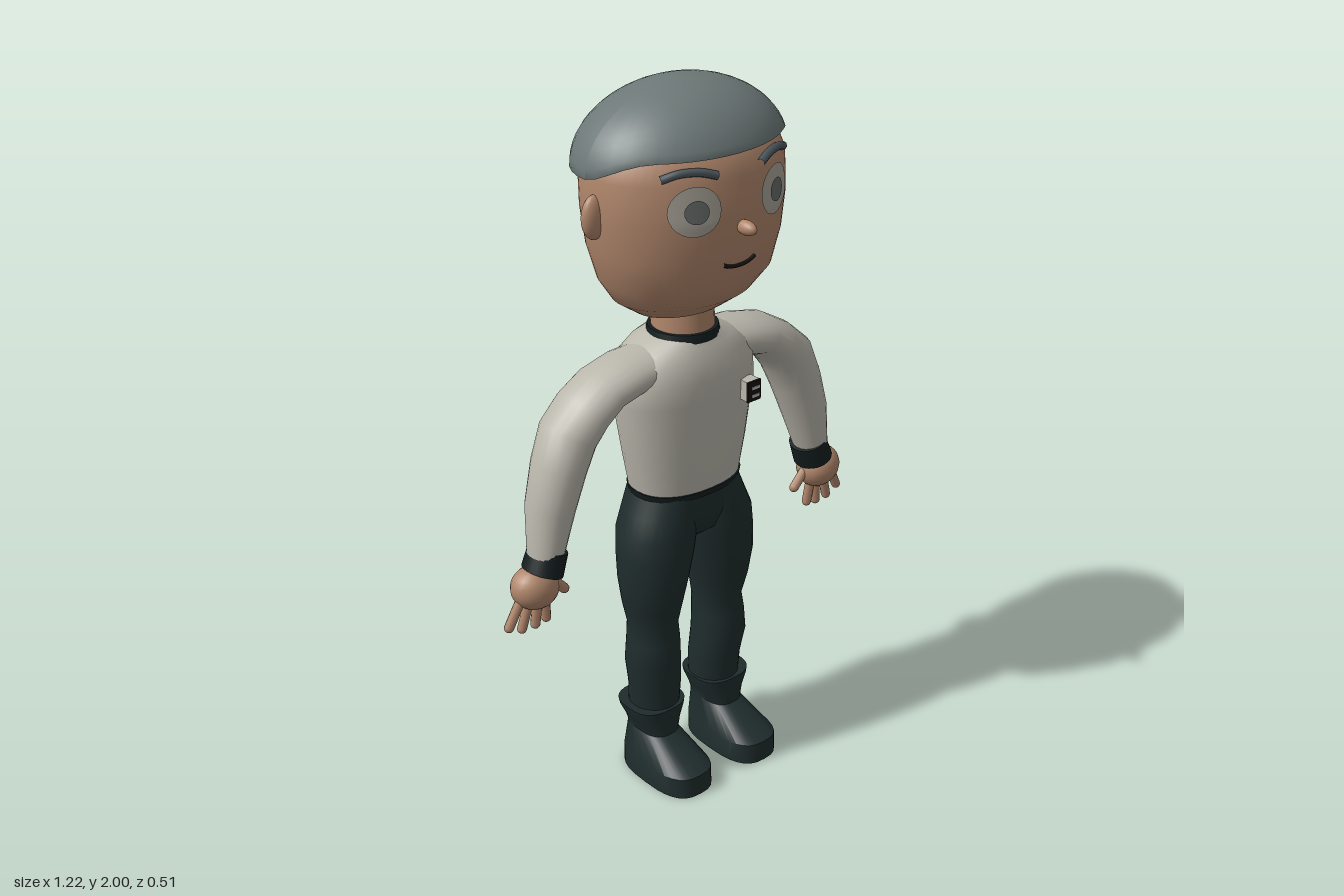
import * as THREE from 'three';
import { toCreasedNormals } from 'three/addons/utils/BufferGeometryUtils.js';

const mat = (name, color) => Object.assign(new THREE.MeshStandardMaterial({ color }), { name });

// Skin a list of sections [x, y, radius, zFront, zBack]; each lies across the path, or level if flat.
function loft(sections, { flat = true, segs = 32, pow = 1 } = {}) {
  const pos = [], idx = [];
  const soft = v => Math.sign(v) * Math.pow(Math.abs(v), pow);
  const rings = sections.map(([x, y, r, zf, zb], i) => {
    const a = sections[Math.max(i - 1, 0)], b = sections[Math.min(i + 1, sections.length - 1)];
    const t = flat ? new THREE.Vector2(0, 1) : new THREE.Vector2(b[0] - a[0], b[1] - a[1]).normalize();
    return Array.from({ length: segs }, (_, j) => {
      const w = j / segs * Math.PI * 2, c = soft(Math.cos(w)) * r, s = soft(Math.sin(w));
      return [x + t.y * c, y - t.x * c, (zf + zb) / 2 + s * (zf - zb) / 2];
    });
  });
  rings.forEach((ring, i) => ring.forEach((p, j) => {
    pos.push(...p);
    if (i === rings.length - 1) return;
    const k = (j + 1) % segs, o = i * segs, u = o + segs;
    idx.push(o + j, u + j, o + k, o + k, u + j, u + k);
  }));
  // end caps with their own vertices
  [0, rings.length - 1].forEach((i, end) => {
    const [x, y, , zf, zb] = sections[i], c = pos.length / 3;
    pos.push(x, y, (zf + zb) / 2);
    rings[i].forEach(p => pos.push(...p));
    for (let j = 0; j < segs; j++) {
      const a = c + 1 + j, b = c + 1 + (j + 1) % segs;
      idx.push(c, end ? b : a, end ? a : b);
    }
  });
  const g = new THREE.BufferGeometry();
  g.setAttribute('position', new THREE.Float32BufferAttribute(pos, 3));
  g.setIndex(idx);
  g.computeVertexNormals();
  return g;
}

// Head sections: x, y, half width, front z, back z
const HEAD = [
  [0, 1.395, .1, .05, -.1], [0, 1.405, .14, .075, -.125], [0, 1.45, .205, .135, -.17],
  [0, 1.51, .247, .18, -.2], [0, 1.6, .272, .2, -.225], [0, 1.7, .285, .207, -.236],
  [0, 1.8, .285, .2, -.238], [0, 1.86, .262, .175, -.22], [0, 1.93, .18, .11, -.15], [0, 1.97, .05, .02, -.06],
];

// Front surface of the head at (x, y)
function faceZ(x, y) {
  const i = HEAD.findIndex((s, k) => y < HEAD[k + 1][1]);
  const a = HEAD[i], b = HEAD[i + 1], f = (y - a[1]) / (b[1] - a[1]);
  const [, , r, zf, zb] = a.map((v, k) => v + (b[k] - v) * f);
  return (zf + zb) / 2 + (zf - zb) / 2 * Math.sqrt(Math.max(0, 1 - (x / r) ** 2));
}

// Thin disc wrapped onto the face
function faceDisc(cx, cy, r, lift) {
  const g = new THREE.RingGeometry(0, r, 24, 6);
  const p = g.attributes.position;
  for (let i = 0; i < p.count; i++) {
    const x = cx + p.getX(i), y = cy + p.getY(i);
    p.setXYZ(i, x, y, faceZ(x, y) + lift);
  }
  g.computeVertexNormals();
  return g;
}

// Tube running over the face through 2D points
function faceTube(points, r, lift) {
  const curve = new THREE.CatmullRomCurve3(points.map(([x, y]) => new THREE.Vector3(x, y, faceZ(x, y) + lift)));
  return new THREE.TubeGeometry(curve, 16, r, 8);
}

// Dome cap whose hem rises over the forehead
function capGeometry() {
  const g = new THREE.SphereGeometry(1, 40, 14);
  const p = g.attributes.position, uv = g.attributes.uv;
  for (let i = 0; i < p.count; i++) {
    const az = uv.getX(i) * Math.PI * 2, v = 1 - uv.getY(i);
    const f = THREE.MathUtils.smoothstep(Math.sin(az), -.05, .72);
    const hem = .29 * f, rim = v > .95 ? .955 : 1;
    const el = Math.PI / 2 + (hem - Math.PI / 2) * Math.min(v / .93, 1);
    const r = Math.cos(el) * rim;
    p.setXYZ(i, -Math.cos(az) * r * .302, 1.8 + .2 * Math.sin(el), Math.sin(az) * r * .23 - .027);
  }
  g.computeVertexNormals();
  return g;
}

export function createModel() {
  const skin = mat('skin', 0xb0866b), shirt = mat('shirt', 0xb9b6ab), trousers = mat('trousers', 0x1f2c2c);
  const trim = mat('trim', 0x141d1e), capMat = mat('cap', 0x6c7877), brow = mat('brow', 0x49545a);
  const eyeMat = mat('eye', 0xa9a499), iris = mat('iris', 0x656a68), black = mat('black', 0x14110f);
  const model = new THREE.Group();
  model.name = 'figure';
  const add = (parent, name, geo, material) => {
    const m = new THREE.Mesh(geo, material);
    m.name = name;
    parent.add(m);
    return m;
  };
  const rod = (parent, name, a, b, r, material) => {
    const p = new THREE.Vector3(...a), q = new THREE.Vector3(...b), d = q.clone().sub(p);
    const m = add(parent, name, new THREE.CapsuleGeometry(r, d.length() - r, 4, 10), material);
    m.position.copy(p).lerp(q, .5);
    m.quaternion.setFromUnitVectors(new THREE.Vector3(0, 1, 0), d.normalize());
  };

  // Head, cap and face
  add(model, 'head', loft(HEAD, { segs: 64 }), skin);
  add(model, 'cap', capGeometry(), capMat);
  add(model, 'neck', loft([[0, 1.31, .085, .068, -.105], [0, 1.43, .08, .065, -.1]]), skin);
  add(model, 'mouth', faceTube([[-.052, 1.582], [-.03, 1.573], [0, 1.57], [.03, 1.573], [.052, 1.582]], .005, .003), black);
  const nose = add(model, 'nose', new THREE.SphereGeometry(1, 16, 12), skin);
  nose.scale.set(.018, .019, .035);
  nose.position.set(0, 1.675, .22);

  // Torso, collar and waistband
  add(model, 'torso', loft([
    [0, .895, .163, .1, -.13], [0, 1, .184, .108, -.136], [0, 1.17, .213, .115, -.146], [0, 1.23, .21, .113, -.148],
    [0, 1.28, .19, .1, -.147], [0, 1.31, .145, .082, -.135], [0, 1.335, .09, .07, -.11],
  ], { pow: .88 }), shirt);
  add(model, 'collar', loft([[0, 1.322, .1, .08, -.117], [0, 1.346, .094, .076, -.112]]), trim);
  add(model, 'waistband', loft([[0, .884, .164, .101, -.131], [0, .902, .168, .105, -.134]], { pow: .88 }), trim);
  add(model, 'pelvis', loft([
    [0, .72, .03, .03, -.06], [0, .76, .15, .078, -.108], [0, .82, .186, .096, -.126], [0, .89, .158, .094, -.126],
  ]), trousers);

  // Chest badge
  const badge = new THREE.Group();
  badge.name = 'badge';
  badge.position.set(.118, 1.163, .112);
  model.add(badge);
  add(badge, 'badgeBody', new THREE.BoxGeometry(.044, .056, .036), shirt);
  add(badge, 'badgePlate', new THREE.BoxGeometry(.046, .058, .006), black).position.z = .019;
  for (const y of [-.014, .009])
    add(badge, 'badgeStripe', new THREE.BoxGeometry(.026, .008, .004), shirt).position.set(.004, y, .022);

  // Everything paired: built on the left, mirrored to the right
  for (const [side, s] of [['left', 1], ['right', -1]]) {
    const half = new THREE.Group();
    half.name = side + 'Side';
    half.scale.x = s;
    model.add(half);

    add(half, 'eye', faceDisc(.13, 1.735, .064, .004), eyeMat);
    add(half, 'iris', faceDisc(.13, 1.735, .03, .008), iris);
    add(half, 'eyebrow', faceTube([[.07, 1.817], [.11, 1.829], [.16, 1.83], [.2, 1.818]], .011, .006), brow);
    const ear = add(half, 'ear', new THREE.SphereGeometry(1, 16, 14), skin);
    ear.scale.set(.037, .058, .023);
    ear.position.set(.286, 1.705, -.015);

    // Arm, cuff and hand
    add(half, 'sleeve', loft([
      [.1, 1.262, .055, .06, -.11], [.19, 1.255, .056, .065, -.115], [.27, 1.236, .057, .066, -.113],
      [.33, 1.193, .064, .064, -.115], [.38, 1.14, .073, .06, -.11], [.415, 1.06, .071, .056, -.1],
      [.45, .955, .066, .05, -.085], [.476, .83, .047, .042, -.062],
    ], { flat: false, segs: 24 }), shirt);
    add(half, 'cuff', loft([[.464, .846, .05, .046, -.068], [.487, .785, .054, .05, -.07]], { flat: false, segs: 24 }), trim);
    const palm = add(half, 'palm', new THREE.SphereGeometry(1, 18, 14), skin);
    palm.scale.set(.068, .06, .058);
    palm.rotation.z = .3;
    palm.position.set(.512, .745, -.012);
    const fingers = [[.56, .72, .598, .645], [.532, .71, .556, .625], [.505, .7, .512, .622], [.482, .7, .475, .628]];
    for (const [x0, y0, x1, y1] of fingers) rod(half, 'finger', [x0, y0, -.012], [x1, y1, -.018], .0135, skin);
    rod(half, 'thumb', [.46, .75, -.012], [.413, .698, -.012], .014, skin);

    // Leg
    add(half, 'leg', loft([
      [.112, .19, .07, .058, -.09], [.112, .28, .075, .063, -.087], [.122, .36, .079, .073, -.085],
      [.12, .43, .073, .072, -.085], [.118, .48, .07, .063, -.085], [.121, .55, .084, .08, -.095],
      [.118, .63, .098, .094, -.107], [.108, .71, .107, .1, -.12], [.1, .77, .11, .1, -.126],
      [.086, .83, .097, .096, -.127], [.07, .89, .088, .09, -.125],
    ]), trousers);

    // Boot with a sloping toe and flared top
    add(half, 'boot', toCreasedNormals(loft([
      [.122, 0, .085, .2, -.09], [.122, .062, .084, .198, -.09], [.119, .13, .054, .066, -.09],
      [.119, .165, .066, .064, -.092], [.12, .205, .084, .067, -.1], [.12, .217, .086, .068, -.102],
    ], { pow: .72, segs: 28 }), .7), trousers);
  }
  return model;
}
